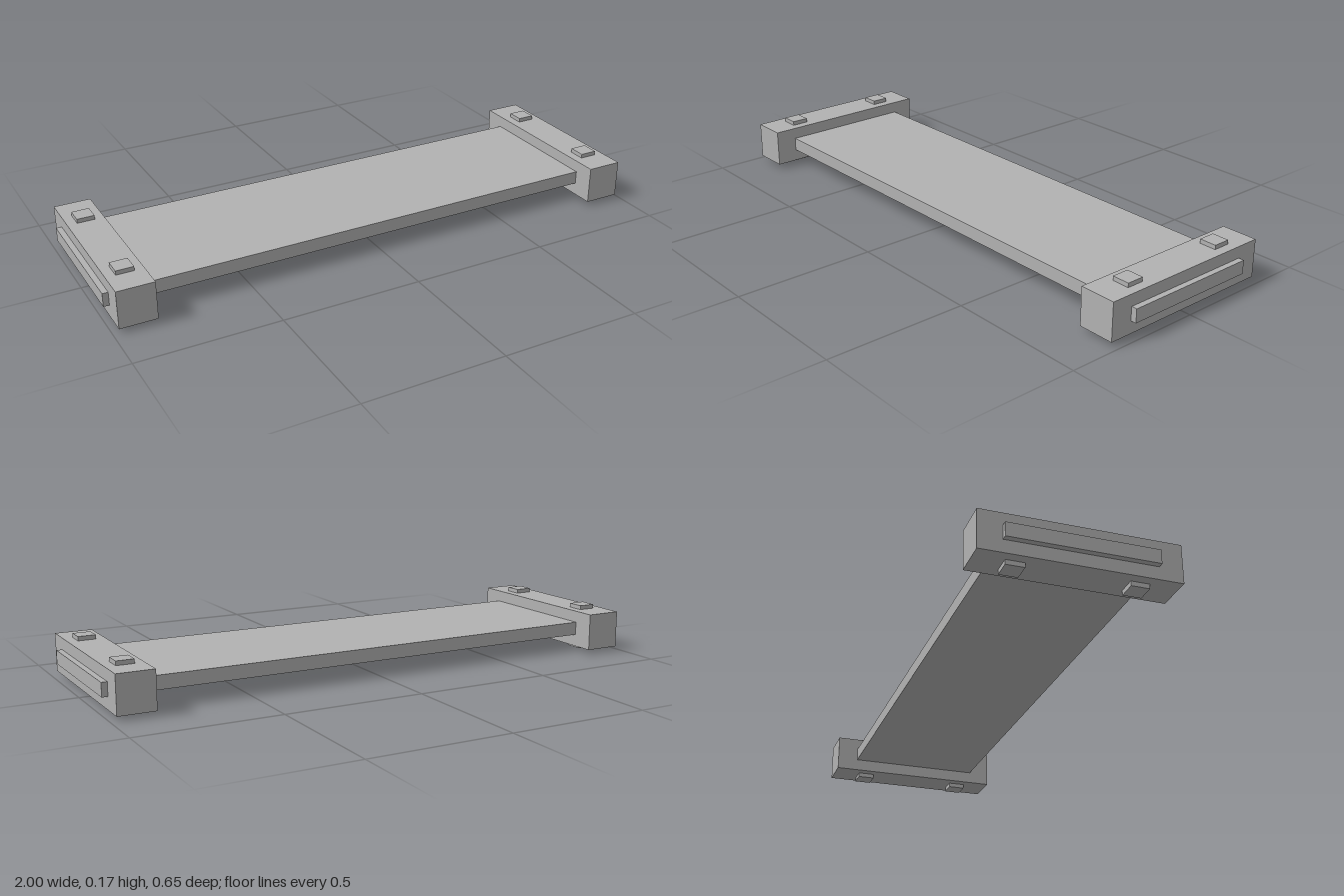
import * as THREE from 'three';

export function createModel() {
  const model = new THREE.Group();
  const grey = new THREE.MeshStandardMaterial({ color: 0xb2b2b2 });
  grey.name = 'plain grey';

  const addBox = (name, size, position) => {
    const mesh = new THREE.Mesh(new THREE.BoxGeometry(...size), grey);
    mesh.name = name;
    mesh.position.set(...position);
    model.add(mesh);
  };

  // Long flat board whose ends poke through the end blocks
  addBox('board', [2, 0.048, 0.494], [0, 0.084, 0]);

  for (const [side, sx] of [['left', 1], ['right', -1]]) {
    const x = sx * 0.915;
    // Cross block at each end
    addBox(`${side}EndBlock`, [0.13, 0.134, 0.652], [x, 0.083, 0]);

    // Square pegs passing through the block, showing above and below
    for (const [end, sz] of [['Front', 1], ['Back', -1]]) {
      addBox(`${side}${end}Peg`, [0.062, 0.165, 0.062], [x, 0.0825, sz * 0.198]);
    }
  }

  return model;
}
